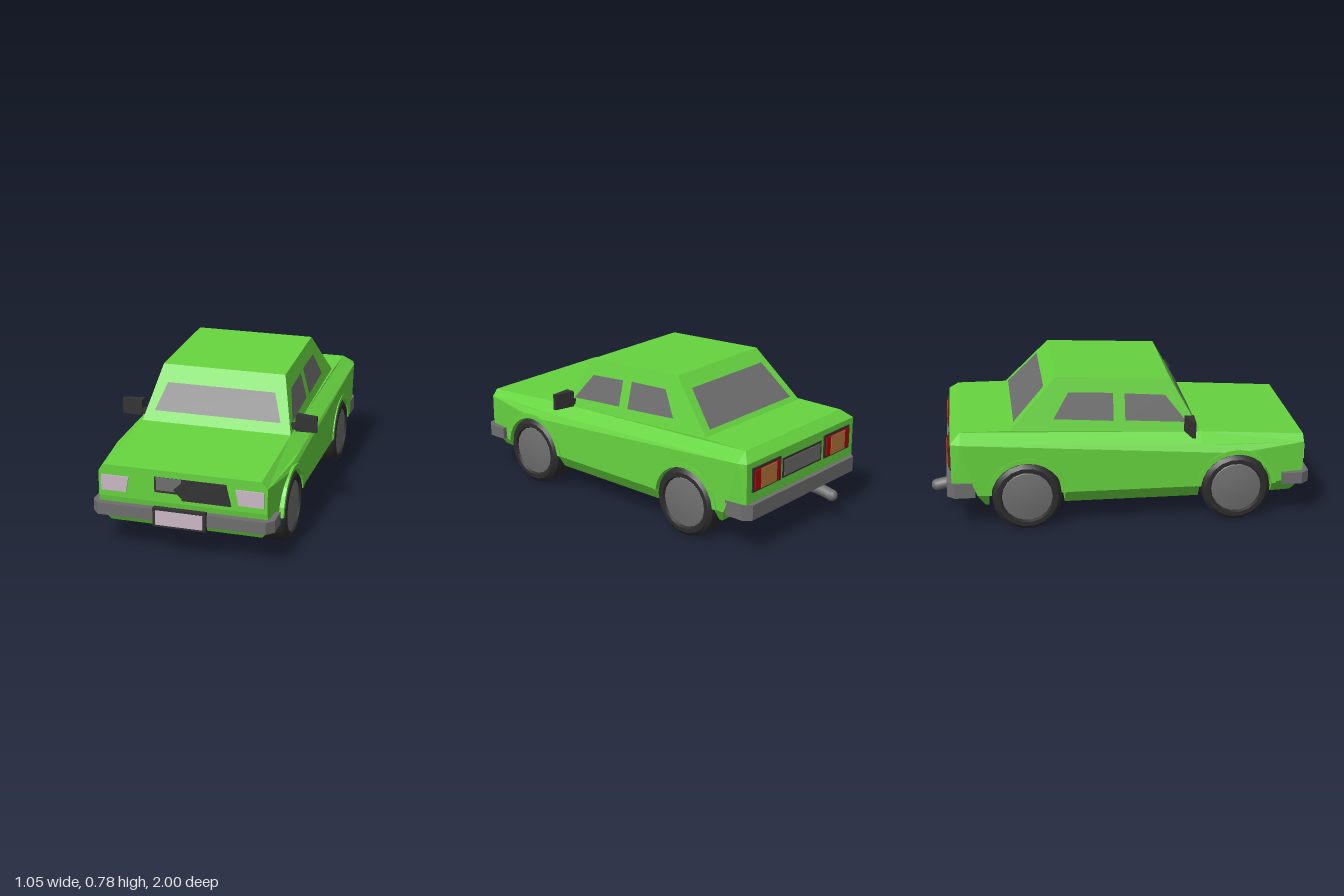
import * as THREE from 'three';
import { toCreasedNormals } from 'three/addons/utils/BufferGeometryUtils.js';

const paint = (name, color) => new THREE.MeshStandardMaterial({ name, color });

export function createModel() {
  const car = new THREE.Group();
  car.name = 'car';
  const green = paint('green paint', 0x66d43f);
  const grey = paint('grey', 0x6e6e6e);
  const black = paint('black', 0x333333);
  const rubber = paint('tyre rubber', 0x2c2c2c);
  const lilac = paint('pale lamp', 0xcbb8c6);
  const red = paint('red lamp', 0xa80404);
  const orange = paint('orange lamp', 0xb87a3e);

  const add = (name, geometry, material, parent = car) => {
    const mesh = new THREE.Mesh(geometry, material);
    mesh.name = name;
    parent.add(mesh);
    return mesh;
  };
  const toShape = pts => new THREE.Shape(pts.map(p => new THREE.Vector2(p[0], p[1])));

  // Side profile of [z, y] points spanning the car, half width set by a rule
  const slab = (name, pts, half) => {
    const geo = new THREE.ExtrudeGeometry(toShape(pts), { depth: 1, bevelEnabled: false });
    const p = geo.attributes.position;
    for (let i = 0; i < p.count; i++) {
      const z = p.getX(i), y = p.getY(i);
      p.setXYZ(i, (1 - 2 * p.getZ(i)) * half(z, y), y, z);
    }
    geo.computeVertexNormals();
    return add(name, geo, green);
  };

  // Thin plate facing forward, or backward when back is true
  const plate = (name, material, pts, z, back = false, depth = 0.005) => {
    const geo = new THREE.ExtrudeGeometry(toShape(pts), { depth, bevelEnabled: false });
    geo.translate(0, 0, z);
    if (back) geo.rotateY(Math.PI);
    return add(name, geo, material);
  };
  const rect = (x0, x1, y0, y1) => [[x0, y0], [x1, y0], [x1, y1], [x0, y1]];

  // Four cornered pane, corners counter-clockwise from outside, lifted off the surface
  const pane = (name, corners) => {
    const v = corners.map(c => new THREE.Vector3(...c));
    const n = v[1].clone().sub(v[0]).cross(v[2].clone().sub(v[0])).normalize();
    v.forEach(c => c.addScaledVector(n, 0.004));
    const geo = new THREE.BufferGeometry().setFromPoints([0, 1, 2, 0, 2, 3].map(i => v[i]));
    geo.computeVertexNormals();
    add(name, geo, grey);
  };

  // Body width and belt line rules
  const outer = z => z > 0.6 ? 0.465 - (z - 0.6) * 0.1
    : z < -0.84 ? 0.465 + (z + 0.84) * 0.3 : 0.465;
  const belt = z => 0.41 + (0.945 - z) * 0.0381;
  const axles = [0.585, -0.505];

  // Middle body with wheel arches
  const arch = (cz, r = 0.195) => {
    const pts = [];
    for (let i = 0; i <= 12; i++) {
      const a = 0.1 + (Math.PI - 0.2) * i / 12;
      pts.push([cz - r * Math.cos(a), 0.18 + r * Math.sin(a)]);
    }
    return pts;
  };
  slab('middleBody', [
    [-0.89, 0.25], [-0.78, 0.25], [-0.76, 0.2], ...arch(axles[1]), ...arch(axles[0]),
    [0.93, 0.2], [0.945, 0.28], [0.945, 0.41], [0.6, belt(0.6)], [-0.84, belt(-0.84)], [-0.89, 0.48],
  ], z => outer(z));

  // Tucked-in sills below the body
  const sillHalf = (z, y) => outer(z) - (y < 0.16 ? 0.045 : 0);
  slab('frontSill', [[0.78, 0.13], [0.89, 0.13], [0.93, 0.2], [0.78, 0.2]], sillHalf);
  slab('sill', [[-0.31, 0.13], [0.39, 0.13], [0.39, 0.2], [-0.31, 0.2]], sillHalf);
  slab('rearSill', [[-0.72, 0.13], [-0.7, 0.13], [-0.7, 0.2], [-0.76, 0.2]], sillHalf);
  add('floor', new THREE.BoxGeometry(0.62, 0.27, 1.52).translate(0, 0.265, 0.045), green);

  // Sloping shoulders, hood and trunk
  slab('hoodAndTrunk', [
    [0.945, 0.41], [0.945, 0.445], [0.4, 0.48], [-0.58, 0.525], [-0.84, 0.525],
    [-0.89, 0.48], [-0.84, belt(-0.84)], [-0.58, belt(-0.58)], [0.4, belt(0.4)], [0.6, belt(0.6)],
  ], (z, y) => y < belt(z) + 0.005 ? outer(z) : 0.4);

  // Cabin
  const cabinHalf = y => 0.4 - (y - 0.48) * 0.259;
  slab('cabin', [[0.4, 0.48], [0.25, 0.75], [-0.34, 0.78], [-0.58, 0.525]], (z, y) => cabinHalf(y));

  // Windows
  const shieldZ = y => 0.4 - (y - 0.48) * 0.5556;
  pane('windshield', [[-0.34, 0.53, shieldZ(0.53)], [0.34, 0.53, shieldZ(0.53)],
    [0.29, 0.665, shieldZ(0.665)], [-0.29, 0.665, shieldZ(0.665)]]);
  pane('rearWindow', [[0.335, 0.546, -0.56], [-0.335, 0.546, -0.56], [-0.285, 0.716, -0.4], [0.285, 0.716, -0.4]]);
  const sideWindows = {
    FrontWindow: [[0.33, 0.53], [0.01, 0.55], [0.01, 0.685], [0.22, 0.67]],
    RearWindow: [[-0.05, 0.55], [-0.36, 0.57], [-0.28, 0.7], [-0.05, 0.69]],
  };
  for (const [name, pts] of Object.entries(sideWindows)) {
    const left = pts.map(([z, y]) => [cabinHalf(y), y, z]);
    pane('left' + name, left);
    pane('right' + name, left.map(([x, y, z]) => [-x, y, z]).reverse());
  }

  // Wheels and arch flares
  const lathe = pts => toCreasedNormals(
    new THREE.LatheGeometry(pts.map(p => new THREE.Vector2(...p)), 18).rotateZ(-Math.PI / 2), 0.5);
  const tyreGeo = lathe([[0, -0.075], [0.15, -0.075], [0.18, -0.058], [0.18, 0.055], [0.16, 0.073], [0.138, 0.073], [0.132, 0.06]]);
  const hubGeo = lathe([[0.135, 0.055], [0.128, 0.064], [0.07, 0.073], [0, 0.076]]);
  const flareGeo = new THREE.ExtrudeGeometry(
    toShape([...arch(0, 0.188), ...arch(0, 0.212).reverse()]), { depth: 0.15, bevelEnabled: false })
    .rotateY(Math.PI / 2);
  for (const z of axles) for (const side of [1, -1]) {
    const wheel = new THREE.Group();
    wheel.name = (side > 0 ? 'left' : 'right') + (z > 0 ? 'FrontWheel' : 'RearWheel');
    wheel.position.set(side * 0.398, 0.18, z);
    wheel.rotation.y = side > 0 ? 0 : Math.PI;
    add('tyre', tyreGeo, rubber, wheel);
    add('hub', hubGeo, grey, wheel);
    car.add(wheel);
    const flare = add('archFlare', flareGeo, green);
    flare.position.set(side > 0 ? 0.32 : -0.47, 0, z);
  }

  // Wrap-around bumpers, drawn from above as [x, outward]
  const bumper = (name, tip, end, y, height, back) => {
    const half = [[0.465, end], [0.465, tip - 0.04], [0.43, tip]];
    const inner = [[0.39, tip - 0.06], [0.415, tip - 0.08], [0.415, end]];
    const flip = a => a.map(([x, s]) => [-x, s]).reverse();
    const geo = new THREE.ExtrudeGeometry(toShape([...half, ...flip(half), ...flip(inner), ...inner]),
      { depth: height, bevelEnabled: false });
    geo.rotateX(-Math.PI / 2);
    if (!back) geo.rotateY(Math.PI);
    geo.translate(0, y, 0);
    add(name, geo, grey);
  };
  bumper('frontBumper', 0.975, 0.83, 0.188, 0.062, false);
  bumper('rearBumper', 0.915, 0.77, 0.19, 0.08, true);
  plate('plateFrame', black, rect(-0.135, 0.135, 0.17, 0.268), 0.97, false, 0.026);
  plate('numberPlate', lilac, rect(-0.12, 0.12, 0.181, 0.256), 0.996, false, 0.004);

  // Front lamps and grille
  plate('leftHeadlight', lilac, [[0.287, 0.312], [0.415, 0.312], [0.415, 0.392], [0.272, 0.392]], 0.945, false, 0.007);
  plate('rightHeadlight', lilac, [[-0.415, 0.312], [-0.287, 0.312], [-0.272, 0.392], [-0.415, 0.392]], 0.945, false, 0.007);
  plate('grille', black, [[0, 0.3], [0.25, 0.3], [0.225, 0.41], [0, 0.41]], 0.945);
  plate('grilleInsetFrame', black, rect(-0.14, 0, 0.33, 0.41), 0.945, false, 0.003);
  plate('grilleInset', grey, rect(-0.13, 0, 0.342, 0.41), 0.946);
  plate('grilleDiamond', black, [[0, 0.315], [0.04, 0.355], [0, 0.395], [-0.04, 0.355]], 0.95, false, 0.008);

  // Tail lamps and rear panel
  for (const s of [1, -1]) {
    const span = (a, b, y0, y1) => s > 0 ? rect(a, b, y0, y1) : rect(-b, -a, y0, y1);
    plate('tailLampFrame', black, span(0.185, 0.41, 0.325, 0.45), 0.889, true, 0.008);
    plate('tailLampRed', red, span(0.198, 0.398, 0.337, 0.438), 0.897, true, 0.008);
    plate('tailLampOrange', orange, span(0.232, 0.355, 0.337, 0.438), 0.904, true, 0.004);
  }
  plate('rearPanelFrame', black, rect(-0.165, 0.165, 0.325, 0.43), 0.889, true, 0.004);
  plate('rearPanel', grey, rect(-0.152, 0.152, 0.336, 0.419), 0.892, true, 0.005);

  // Side mirrors, thinner toward the outer end
  for (const s of [1, -1]) {
    const geo = new THREE.BoxGeometry(0.11, 0.085, 0.05);
    const p = geo.attributes.position;
    for (let i = 0; i < p.count; i++) if (p.getX(i) * s > 0) p.setZ(i, p.getZ(i) * 0.35 + 0.01);
    geo.computeVertexNormals();
    const mirror = add(s > 0 ? 'leftMirror' : 'rightMirror', geo, black);
    mirror.position.set(s * 0.47, 0.533, 0.337);
    add('mirrorArm', new THREE.BoxGeometry(0.06, 0.03, 0.03).translate(s * 0.4, 0.51, 0.337), black);
  }

  // Exhaust pipe
  const path = new THREE.CatmullRomCurve3([[0.165, -0.58], [0.165, -0.85], [0.158, -0.92], [0.146, -0.975]]
    .map(([y, z]) => new THREE.Vector3(-0.165, y, z)));
  add('exhaustPipe', new THREE.TubeGeometry(path, 12, 0.031, 10), grey);
  add('exhaustEnd', new THREE.SphereGeometry(0.031, 10, 8).translate(-0.165, 0.148, -0.969), grey);
  return car;
}
